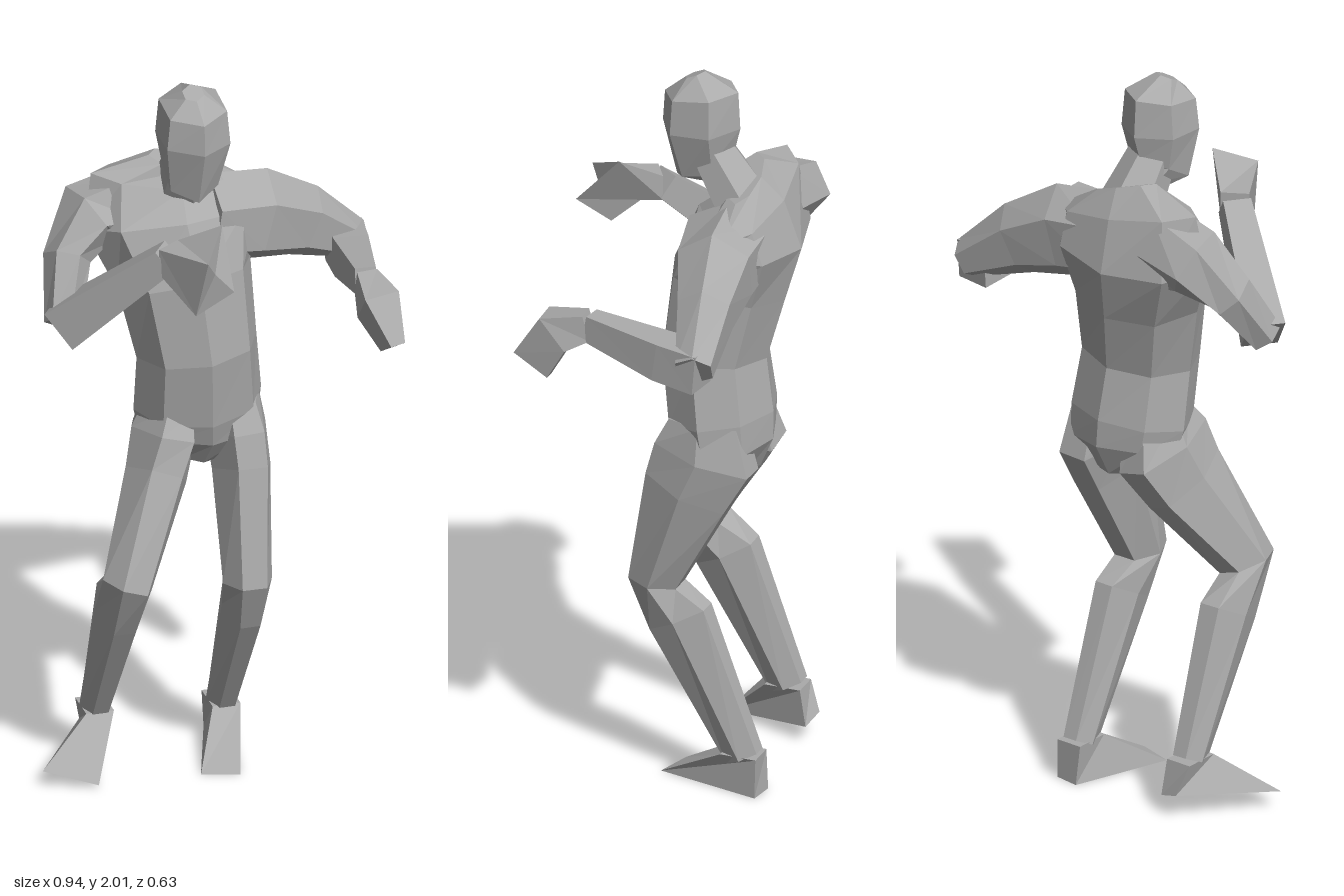
import * as THREE from 'three';

// One cross-section around a centre; four-sided sections are boxes, others are ovals.
function section(centre, u, v, a, b, sides) {
  const phase = sides === 4 ? Math.PI / 4 : 0;
  const scale = sides === 4 ? Math.SQRT2 : 1;
  return Array.from({ length: sides }, (_, i) => {
    const angle = phase + (i / sides) * Math.PI * 2;
    return centre.clone()
      .addScaledVector(u, a * scale * Math.cos(angle))
      .addScaledVector(v, b * scale * Math.sin(angle));
  });
}

// Skin a list of equal-length sections and cap both ends.
function loft(rings) {
  const n = rings[0].length;
  const points = [];
  const middle = (ring) => ring.reduce((s, p) => s.add(p), new THREE.Vector3()).divideScalar(n);
  const first = rings[0], last = rings[rings.length - 1];
  const start = middle(first), end = middle(last);
  for (let i = 0; i < n; i++) {
    const j = (i + 1) % n;
    for (let r = 0; r < rings.length - 1; r++) {
      const [a, b, c, d] = [rings[r][i], rings[r][j], rings[r + 1][j], rings[r + 1][i]];
      points.push(a, b, c, a, c, d);
    }
    points.push(start, first[j], first[i], end, last[i], last[j]);
  }
  const geometry = new THREE.BufferGeometry().setFromPoints(points);
  geometry.computeVertexNormals();
  return geometry;
}

// Sections set square to a path. Each station is x, y, z, then the half size
// along the side direction and the half size across it.
function limb(side, sides, stations) {
  const centres = stations.map((s) => new THREE.Vector3(s[0], s[1], s[2]));
  return loft(stations.map((s, i) => {
    const before = centres[Math.max(i - 1, 0)];
    const after = centres[Math.min(i + 1, centres.length - 1)];
    const t = after.clone().sub(before).normalize();
    const u = side.clone().addScaledVector(t, -side.dot(t)).normalize();
    return section(centres[i], u, t.clone().cross(u), s[3], s[4], sides);
  }));
}

// A wedge from a box section to four free corners, for a fist or a foot.
function wedge([x, y, z, a, b], u, v, corners) {
  const root = section(new THREE.Vector3(x, y, z), u, v, a, b, 4);
  return loft([root, corners.map((p) => new THREE.Vector3(...p))]);
}

export function createModel() {
  const model = new THREE.Group();
  model.name = 'figure';
  const grey = new THREE.MeshStandardMaterial({ color: 0xaaaaaa, flatShading: true });
  grey.name = 'plain grey';
  const add = (name, geometry) => {
    const mesh = new THREE.Mesh(geometry, grey);
    mesh.name = name;
    model.add(mesh);
  };
  const X = new THREE.Vector3(1, 0, 0);
  const Y = new THREE.Vector3(0, 1, 0);
  const Z = new THREE.Vector3(0, 0, 1);

  // Trunk, from the crotch up to the base of the neck
  add('torso', limb(X, 8, [
    [-0.03, 0.9, -0.13, 0.07, 0.09],
    [-0.02, 0.98, -0.125, 0.165, 0.135],
    [-0.025, 1.05, -0.115, 0.175, 0.145],
    [-0.035, 1.22, -0.09, 0.165, 0.145],
    [-0.06, 1.42, -0.12, 0.185, 0.16],
    [-0.08, 1.57, -0.17, 0.24, 0.15],
    [-0.07, 1.67, -0.185, 0.23, 0.085],
    [-0.05, 1.725, -0.17, 0.1, 0.045],
  ]));

  // Neck, and the head from crown to jaw
  add('neck', limb(Z, 6, [
    [-0.06, 1.8, -0.06, 0.06, 0.065],
    [-0.05, 1.67, -0.15, 0.08, 0.085],
  ]));
  add('head', limb(Z, 6, [
    [-0.065, 1.995, -0.02, 0.03, 0.03],
    [-0.06, 1.95, -0.04, 0.105, 0.09],
    [-0.06, 1.855, -0.04, 0.11, 0.1],
    [-0.065, 1.745, -0.05, 0.095, 0.075],
    [-0.06, 1.735, -0.11, 0.04, 0.05],
  ]));

  // Left arm: held out sideways, forearm forwards, hand hanging
  add('leftUpperArm', limb(Y, 6, [
    [0, 1.565, -0.15, 0.12, 0.13],
    [0.15, 1.54, -0.165, 0.13, 0.11],
    [0.29, 1.485, -0.195, 0.1, 0.08],
    [0.44, 1.395, -0.225, 0.055, 0.055],
  ]));
  const leftWrist = [0.372, 1.437, 0.1, 0.028, 0.036];
  add('leftForearm', limb(X, 4, [
    [0.415, 1.39, -0.24, 0.05, 0.055],
    [0.4, 1.4, -0.12, 0.047, 0.053],
    leftWrist,
  ]));
  add('leftHand', limb(X, 4, [
    leftWrist,
    [0.378, 1.41, 0.19, 0.048, 0.055],
    [0.4, 1.31, 0.25, 0.02, 0.055],
  ]));

  // Right arm: elbow out, forearm folded up towards the chin
  add('rightUpperArm', limb(Z, 6, [
    [-0.18, 1.6, -0.19, 0.09, 0.12],
    [-0.3, 1.59, -0.195, 0.105, 0.09],
    [-0.375, 1.5, -0.14, 0.075, 0.06],
    [-0.415, 1.36, -0.045, 0.055, 0.048],
  ]));
  const rightWrist = [-0.178, 1.6, 0.125, 0.035, 0.038];
  add('rightForearm', limb(Y, 4, [
    [-0.41, 1.355, -0.045, 0.06, 0.05],
    rightWrist,
  ]));
  add('rightHand', wedge(rightWrist, Y, new THREE.Vector3(-0.85, 0, 0.53), [
    [-0.12, 1.65, 0.295], [-0.14, 1.48, 0.25], [-0.055, 1.57, 0.315], [-0.05, 1.705, 0.19],
  ]));

  // Legs from hip through knee to ankle, with wedge feet
  const legs = {
    left: {
      leg: [
        [0.07, 1.06, -0.11, 0.07, 0.11],
        [0.077, 0.96, -0.11, 0.083, 0.155],
        [0.08, 0.86, -0.065, 0.08, 0.135],
        [0.067, 0.57, 0.035, 0.067, 0.078],
        [0.073, 0.475, -0.035, 0.055, 0.1],
        [0.07, 0.1, -0.215, 0.042, 0.055],
      ],
      ankle: [0.07, 0.11, -0.212, 0.038, 0.05],
      sole: [[0.05, 0, 0.03], [-0.05, 0, 0], [0.04, 0, -0.27], [0.11, 0, -0.26]],
    },
    right: {
      leg: [
        [-0.1, 1.06, -0.11, 0.07, 0.11],
        [-0.12, 0.97, -0.105, 0.09, 0.155],
        [-0.155, 0.87, -0.06, 0.085, 0.13],
        [-0.27, 0.62, 0.06, 0.07, 0.085],
        [-0.275, 0.51, -0.025, 0.06, 0.1],
        [-0.283, 0.145, -0.195, 0.042, 0.055],
      ],
      ankle: [-0.283, 0.15, -0.192, 0.038, 0.05],
      sole: [[-0.33, 0.01, 0], [-0.47, 0.05, -0.045], [-0.3, 0.07, -0.275], [-0.24, 0.05, -0.26]],
    },
  };
  for (const [name, { leg, ankle, sole }] of Object.entries(legs)) {
    add(name + 'Leg', limb(X, 6, leg));
    add(name + 'Foot', wedge(ankle, X, Z, sole));
  }
  return model;
}
